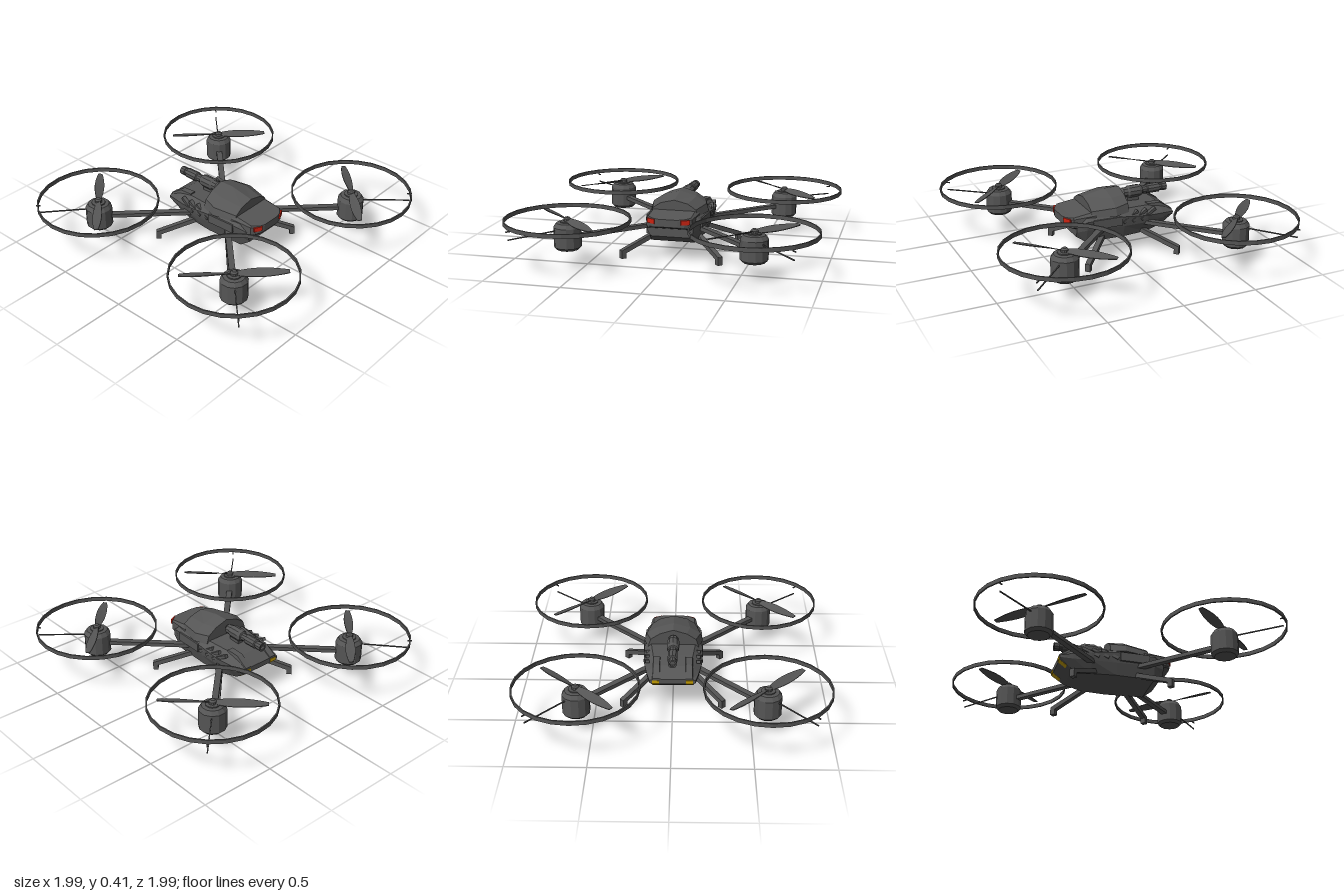
import * as THREE from 'three';

const mat = (color) => new THREE.MeshStandardMaterial({ color, flatShading: true });
const dark = mat(0x555555), red = mat(0xcc2211), yellow = mat(0xc8a000);

function add(parent, name, geometry, material = dark) {
  const mesh = new THREE.Mesh(geometry, material);
  mesh.name = name;
  parent.add(mesh);
  return mesh;
}

// Square bar from a to b, w wide (sideways) and h thick
function beam(parent, name, a, b, w, h) {
  const A = new THREE.Vector3(...a), B = new THREE.Vector3(...b);
  const mesh = add(parent, name, new THREE.BoxGeometry(w, h, A.distanceTo(B)));
  mesh.position.copy(A).add(B).multiplyScalar(0.5);
  mesh.lookAt(B);
  return mesh;
}

// Mirrored loft: sections run front to back, each [z, [x, y]...] from top to bottom
function loft(sections) {
  const rings = sections.map(([z, ...half]) => [
    ...half.map(([x, y]) => [x, y, z]),
    ...half.slice().reverse().map(([x, y]) => [-x, y, z]),
  ]);
  const pos = [], n = rings[0].length;
  const tri = (a, b, c) => pos.push(...a, ...b, ...c);
  for (let k = 0; k + 1 < rings.length; k++) {
    for (let i = 0; i < n; i++) {
      const j = (i + 1) % n, p = rings[k], q = rings[k + 1];
      tri(p[i], p[j], q[j]);
      tri(p[i], q[j], q[i]);
    }
  }
  const front = rings[0], back = rings[rings.length - 1];
  for (let i = 1; i + 1 < n; i++) {
    tri(front[0], front[i + 1], front[i]);
    tri(back[0], back[i], back[i + 1]);
  }
  const g = new THREE.BufferGeometry();
  g.setAttribute('position', new THREE.Float32BufferAttribute(pos, 3));
  g.computeVertexNormals();
  return g;
}

const lathe = (points, sides) =>
  new THREE.LatheGeometry(points.map(([r, y]) => new THREE.Vector2(r, y)), sides);

// One tapered, twisted blade along +z
function bladeGeometry() {
  const g = new THREE.BoxGeometry(1, 0.005, 1, 2, 1, 10), p = g.attributes.position;
  for (let i = 0; i < p.count; i++) {
    const t = p.getZ(i) + 0.5;
    const width = 0.02 + 0.045 * Math.pow(Math.sin(Math.PI * Math.min(1, 0.05 + t * 0.92)), 0.8);
    const pitch = 0.5 - 0.35 * t, x = p.getX(i) * width, y = p.getY(i);
    p.setXYZ(i, x * Math.cos(pitch) - y * Math.sin(pitch),
      x * Math.sin(pitch) + y * Math.cos(pitch), 0.015 + t * 0.32);
  }
  g.computeVertexNormals();
  return g;
}

// Arm, motor, propeller, guard and leg; local +x points outward
function makeCorner() {
  const corner = new THREE.Group(), R = 0.841;
  corner.name = 'rotorArm';
  beam(corner, 'arm', [0.1, 0.197, 0], [R - 0.06, 0.197, 0], 0.04, 0.026);

  const rotor = new THREE.Group();
  rotor.name = 'rotor';
  rotor.position.x = R;
  corner.add(rotor);
  add(rotor, 'motor', lathe([[0, 0.12], [0.07, 0.12], [0.088, 0.138], [0.088, 0.265],
    [0.07, 0.292], [0.045, 0.295], [0.045, 0.302], [0, 0.302]], 12));
  add(rotor, 'propellerHub', lathe([[0.024, 0.295], [0.024, 0.318], [0.014, 0.328], [0, 0.328]], 10));
  for (const turn of [0, Math.PI]) {
    const blade = add(rotor, 'blade', bladeGeometry());
    blade.position.y = 0.31;
    blade.rotation.y = turn;
  }
  const ring = add(rotor, 'guardRing', lathe([[0.393, 0.295], [0.402, 0.295], [0.402, 0.322],
    [0.393, 0.322], [0.393, 0.295]], 24));
  ring.rotation.y = Math.PI / 4;
  beam(rotor, 'guardStrut', [0.07, 0.207, 0], [0.396, 0.274, 0], 0.007, 0.007);
  beam(rotor, 'guardPost', [0.396, 0.27, 0], [0.397, 0.3, 0], 0.007, 0.007);

  beam(corner, 'leg', [0.16, 0.155, 0], [0.462, 0.04, 0], 0.034, 0.03);
  add(corner, 'foot', new THREE.BoxGeometry(0.034, 0.052, 0.034)).position.set(0.452, 0.026, 0);
  return corner;
}

function makeBody() {
  const body = new THREE.Group();
  body.name = 'body';
  add(body, 'hull', loft([
    [0.325, [0.13, 0.26], [0.15, 0.24], [0.15, 0.2], [0.13, 0.165]],
    [0.26, [0.15, 0.3], [0.18, 0.27], [0.17, 0.21], [0.145, 0.12]],
    [0, [0.15, 0.31], [0.192, 0.27], [0.182, 0.2], [0.16, 0.12]],
    [-0.17, [0.13, 0.3], [0.192, 0.25], [0.182, 0.2], [0.145, 0.12]],
    [-0.29, [0.115, 0.29], [0.17, 0.24], [0.165, 0.205], [0.13, 0.145]],
    [-0.375, [0.125, 0.24], [0.148, 0.23], [0.148, 0.215], [0.135, 0.205]],
  ]));
  add(body, 'nose', loft([
    [0.392, [0.06, 0.295], [0.065, 0.288], [0.065, 0.25], [0.06, 0.245]],
    [0.38, [0.1, 0.297], [0.11, 0.289], [0.11, 0.245], [0.1, 0.238]],
    [0.345, [0.14, 0.301], [0.15, 0.292], [0.15, 0.235], [0.14, 0.225]],
    [0.19, [0.14, 0.32], [0.165, 0.3], [0.17, 0.225], [0.15, 0.2]],
  ]));
  add(body, 'canopy', loft([
    [0.22, [0.001, 0.383], [0.09, 0.362], [0.145, 0.325], [0.158, 0.285]],
    [0.06, [0.001, 0.413], [0.11, 0.382], [0.18, 0.337], [0.196, 0.285]],
    [-0.04, [0.001, 0.413], [0.09, 0.385], [0.15, 0.345], [0.168, 0.29]],
  ]));
  for (const s of [-1, 1]) {
    // Side panel and slanted vents
    beam(body, 'sidePanel', [s * 0.178, 0.245, 0.22], [s * 0.187, 0.245, 0.02], 0.02, 0.06);
    for (let i = 0; i < 3; i++) {
      const z = 0.01 - i * 0.065;
      beam(body, 'sideVent', [s * 0.183, 0.228, z], [s * 0.165, 0.285, z - 0.11], 0.025, 0.02);
    }
    // Rails flanking the rear deck
    add(body, 'rearRail', loft([[-0.2, [0.022, 0.305], [0.03, 0.26]],
      [-0.29, [0.02, 0.3], [0.032, 0.25]], [-0.375, [0.022, 0.245], [0.03, 0.22]]]))
      .position.x = s * 0.105;
    const headlight = add(body, 'headlight', new THREE.BoxGeometry(0.058, 0.03, 0.03), red);
    headlight.position.set(s * 0.108, 0.278, 0.368);
    headlight.rotation.y = s * 0.45;
    // Tail lights on the rear edge, wrapping onto the underside
    beam(body, 'tailLight', [s * 0.108, 0.211, -0.373], [s * 0.108, 0.172, -0.322], 0.045, 0.012)
      .material = yellow;
    add(body, 'tailLight', new THREE.BoxGeometry(0.045, 0.022, 0.008), yellow)
      .position.set(s * 0.108, 0.22, -0.375);
  }
  return body;
}

// Rear-facing pod above the deck
function makePod() {
  const pod = new THREE.Group();
  pod.name = 'rearPod';
  const barrel = add(pod, 'podBarrel', lathe([[0, 0.055], [0.022, 0.055], [0.034, 0.07], [0.034, 0.1],
    [0.042, 0.112], [0.042, 0.185], [0.034, 0.205], [0.026, 0.21], [0.026, 0.245], [0.033, 0.25],
    [0.033, 0.335], [0.025, 0.34], [0.025, 0.352], [0.029, 0.355], [0.029, 0.39], [0.018, 0.39],
    [0.018, 0.37], [0, 0.37]], 10));
  barrel.rotation.x = -Math.PI / 2;
  barrel.position.y = 0.36;
  add(pod, 'podMount', new THREE.BoxGeometry(0.04, 0.06, 0.08)).position.set(0, 0.31, -0.14);
  return pod;
}

export function createModel() {
  const model = new THREE.Group();
  model.name = 'quadcopter';
  model.add(makeBody(), makePod());
  for (let i = 0; i < 4; i++) {
    const corner = makeCorner();
    corner.rotation.y = Math.PI / 4 + i * Math.PI / 2;
    model.add(corner);
  }
  return model;
}
